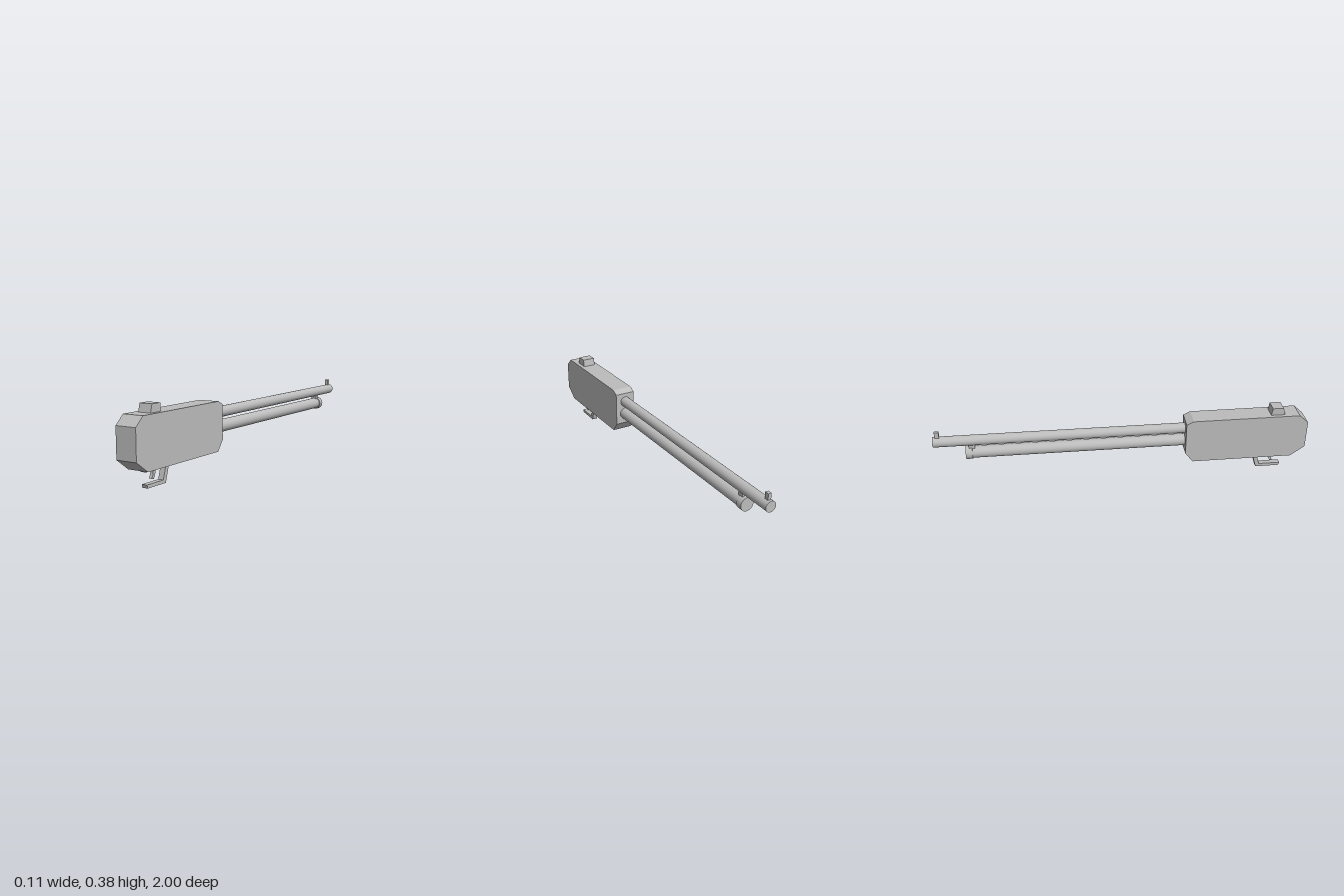
import * as THREE from 'three';

const grey = new THREE.MeshStandardMaterial({ color: 0xbcbcbc });
grey.name = 'grey metal';

export function createModel() {
  const model = new THREE.Group();
  model.name = 'longGun';

  const add = (name, geometry) => {
    const mesh = new THREE.Mesh(geometry, grey);
    mesh.name = name;
    model.add(mesh);
    return mesh;
  };

  // Side profile of [z, y] points, extruded evenly to both sides of x = 0
  const slab = (name, points, width) => {
    const shape = new THREE.Shape(points.map(([z, y]) => new THREE.Vector2(z, y)));
    const geometry = new THREE.ExtrudeGeometry(shape, { depth: width, bevelEnabled: false });
    geometry.translate(0, 0, -width / 2).rotateY(-Math.PI / 2);
    return add(name, geometry);
  };

  // Round bar along z
  const bar = (name, radius, y, z0, z1) => {
    const geometry = new THREE.CylinderGeometry(radius, radius, Math.abs(z1 - z0), 32);
    geometry.rotateX(Math.PI / 2);
    add(name, geometry).position.set(0, y, (z0 + z1) / 2);
  };

  // Block from its limits in y and z
  const block = (name, width, y0, y1, z0, z1) => {
    const geometry = new THREE.BoxGeometry(width, y1 - y0, z1 - z0);
    add(name, geometry).position.set(0, (y0 + y1) / 2, (z0 + z1) / 2);
  };

  // Chamfered body
  slab('receiver', [
    [0.335, 0.142], [0.377, 0.088], [0.924, 0.088], [1, 0.143],
    [1, 0.295], [0.95, 0.34], [0.372, 0.34], [0.335, 0.322],
  ], 0.112);

  // Barrel and tube below it
  bar('barrel', 0.028, 0.273, 0.36, -1);
  bar('lowerTube', 0.032, 0.2, 0.36, -0.81);
  bar('tubeCap', 0.036, 0.199, -0.8, -0.835);
  block('barrelBracket', 0.03, 0.22, 0.255, -0.817, -0.785);

  // Sights
  block('frontSight', 0.017, 0.29, 0.333, -0.987, -0.964);
  slab('rearSight', [[0.797, 0.335], [0.875, 0.335], [0.862, 0.38], [0.804, 0.38]], 0.07);

  // Plates under the body
  block('loadingPlate', 0.078, 0.084, 0.09, 0.45, 0.725);
  block('loadingGate', 0.048, 0.082, 0.09, 0.475, 0.7);

  // Open guard and trigger
  slab('triggerGuard', [
    [0.725, 0.09], [0.725, 0.075], [0.748, 0], [0.878, 0], [0.883, 0.017],
    [0.766, 0.017], [0.748, 0.075], [0.89, 0.075], [0.89, 0.09],
  ], 0.03);
  slab('trigger', [
    [0.81, 0.08], [0.815, 0.055], [0.826, 0.032], [0.84, 0.036], [0.83, 0.058], [0.828, 0.08],
  ], 0.016);

  return model;
}
